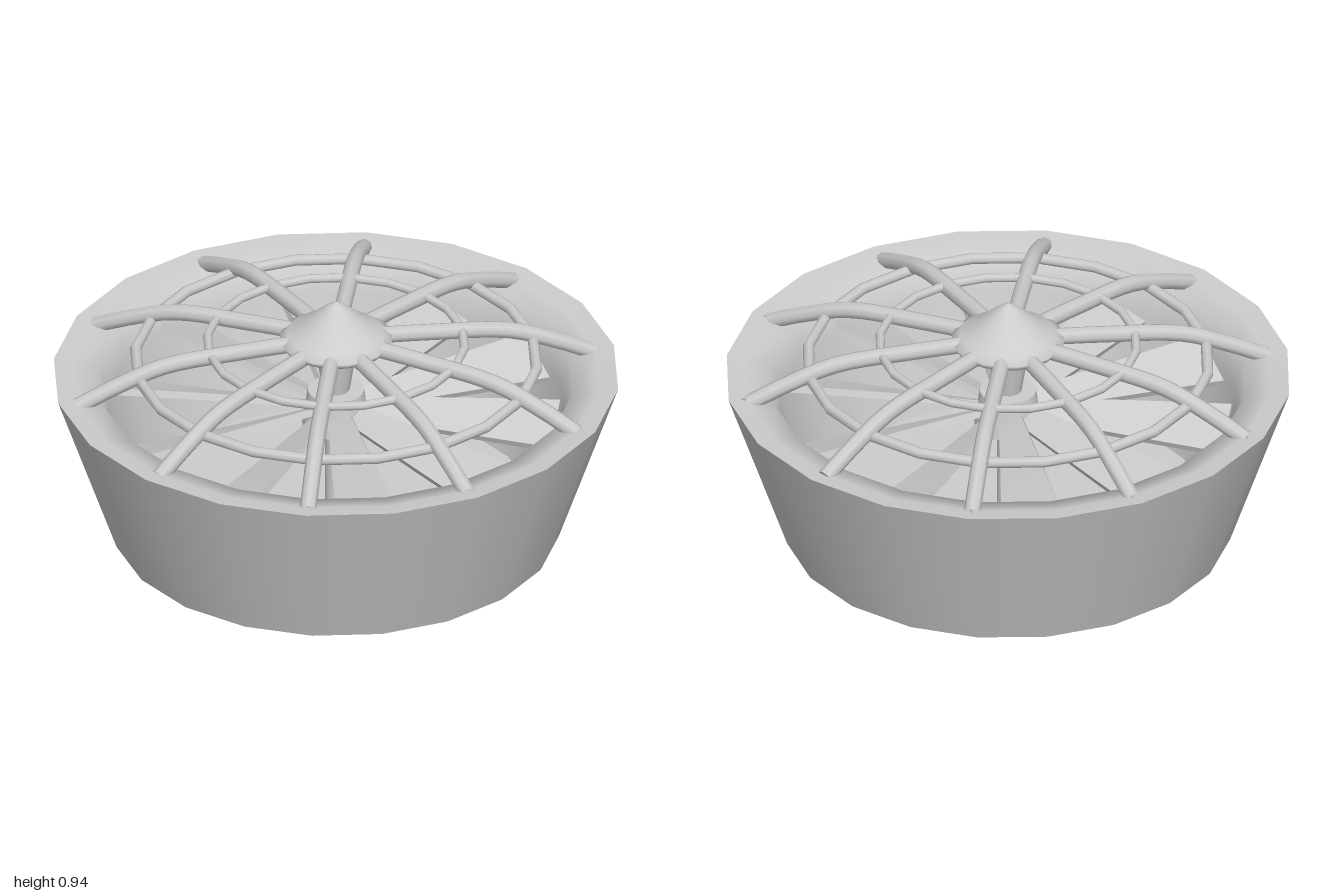
import * as THREE from 'three';

const material = new THREE.MeshStandardMaterial({ color: 0xcccccc, side: THREE.DoubleSide });
const SPOKES = 10;
const BLADES = 10;
const SIDES = 20;

function addMesh(parent, name, geometry) {
  const mesh = new THREE.Mesh(geometry, material);
  mesh.name = name;
  parent.add(mesh);
  return mesh;
}

function lathe(points, sides = SIDES) {
  return new THREE.LatheGeometry(points.map(([r, y]) => new THREE.Vector2(r, y)), sides);
}

// Tapered slab running along +x, twisted from a steep root to a flatter tip
function bladeGeometry() {
  const inner = 0.08, outer = 0.785;
  const geometry = new THREE.BoxGeometry(1, 0.025, 1, 6, 1, 1);
  const pos = geometry.attributes.position;
  for (let i = 0; i < pos.count; i++) {
    const t = pos.getX(i) + 0.5;
    const width = THREE.MathUtils.lerp(0.08, 0.22, t);
    const pitch = THREE.MathUtils.lerp(0.5, 0.35, t);
    const y = pos.getY(i), z = pos.getZ(i) * width;
    pos.setXYZ(i,
      THREE.MathUtils.lerp(inner, outer, t),
      y * Math.cos(pitch) - z * Math.sin(pitch),
      y * Math.sin(pitch) + z * Math.cos(pitch));
  }
  geometry.computeVertexNormals();
  return geometry;
}

export function createModel() {
  const model = new THREE.Group();
  model.name = 'ventilationFan';

  // Flared housing with a thick sloping rim and a closed, recessed base
  const housing = new THREE.Group();
  housing.name = 'housing';
  model.add(housing);
  addMesh(housing, 'outerWall', lathe([[0.79, 0.03], [1, 0.64]]));
  addMesh(housing, 'rimAndInnerWall', lathe([[1, 0.64], [0.93, 0.632], [0.84, 0.615], [0.81, 0.5], [0.7, 0.1]]));
  addMesh(housing, 'baseRim', lathe([[0.69, 0.07], [0.79, 0.03]]));
  addMesh(housing, 'basePlate', lathe([[0, 0.07], [0.69, 0.07]]));
  addMesh(housing, 'innerFloor', lathe([[0.7, 0.1], [0, 0.1]]));

  // Shaft poking out below the base
  const shaft = addMesh(model, 'shaft', new THREE.CylinderGeometry(0.04, 0.04, 0.5, 12));
  shaft.position.y = 0.25;

  // Rotor
  const rotor = new THREE.Group();
  rotor.name = 'rotor';
  rotor.position.y = 0.51;
  model.add(rotor);
  addMesh(rotor, 'rotorHub', new THREE.CylinderGeometry(0.1, 0.12, 0.14, SIDES));
  const blade = bladeGeometry();
  for (let i = 0; i < BLADES; i++) {
    const mesh = addMesh(rotor, 'blade', blade);
    mesh.rotation.y = Math.PI / 2 - THREE.MathUtils.degToRad(4 + (i * 360) / BLADES);
  }

  // Domed guard: curved spokes joined by two hoops
  const guard = new THREE.Group();
  guard.name = 'guard';
  model.add(guard);
  const path = new THREE.CatmullRomCurve3([
    [0.06, 0.785], [0.35, 0.77], [0.62, 0.745], [0.8, 0.68], [0.93, 0.62],
  ].map(([r, y]) => new THREE.Vector3(r, y, 0)));
  const spoke = new THREE.TubeGeometry(path, 16, 0.03, 8, false);
  const cap = new THREE.CircleGeometry(0.03, 8);
  for (let i = 0; i < SPOKES; i++) {
    const arm = new THREE.Group();
    arm.name = 'spoke';
    arm.rotation.y = (i * Math.PI * 2) / SPOKES;
    addMesh(arm, 'spokeBar', spoke);
    const end = addMesh(arm, 'spokeEnd', cap);
    end.position.copy(path.getPoint(1));
    end.lookAt(end.position.clone().add(path.getTangent(1)));
    guard.add(arm);
  }
  for (const [name, radius, y, tube] of [['outerHoop', 0.71, 0.7, 0.02], ['innerHoop', 0.455, 0.77, 0.016]]) {
    const hoop = addMesh(guard, name, new THREE.TorusGeometry(radius, tube, 8, SIDES));
    hoop.rotation.x = Math.PI / 2;
    hoop.position.y = y;
  }

  // Pointed centre cap with a tapering neck down to the rotor
  addMesh(guard, 'centreCap', lathe([
    [0, 0.765], [0.19, 0.77], [0.2, 0.79], [0.17, 0.81], [0.12, 0.84], [0.07, 0.885], [0.025, 0.922], [0, 0.935],
  ]));
  const neck = addMesh(guard, 'neck', new THREE.CylinderGeometry(0.08, 0.045, 0.22, 10));
  neck.position.y = 0.67;

  return model;
}
